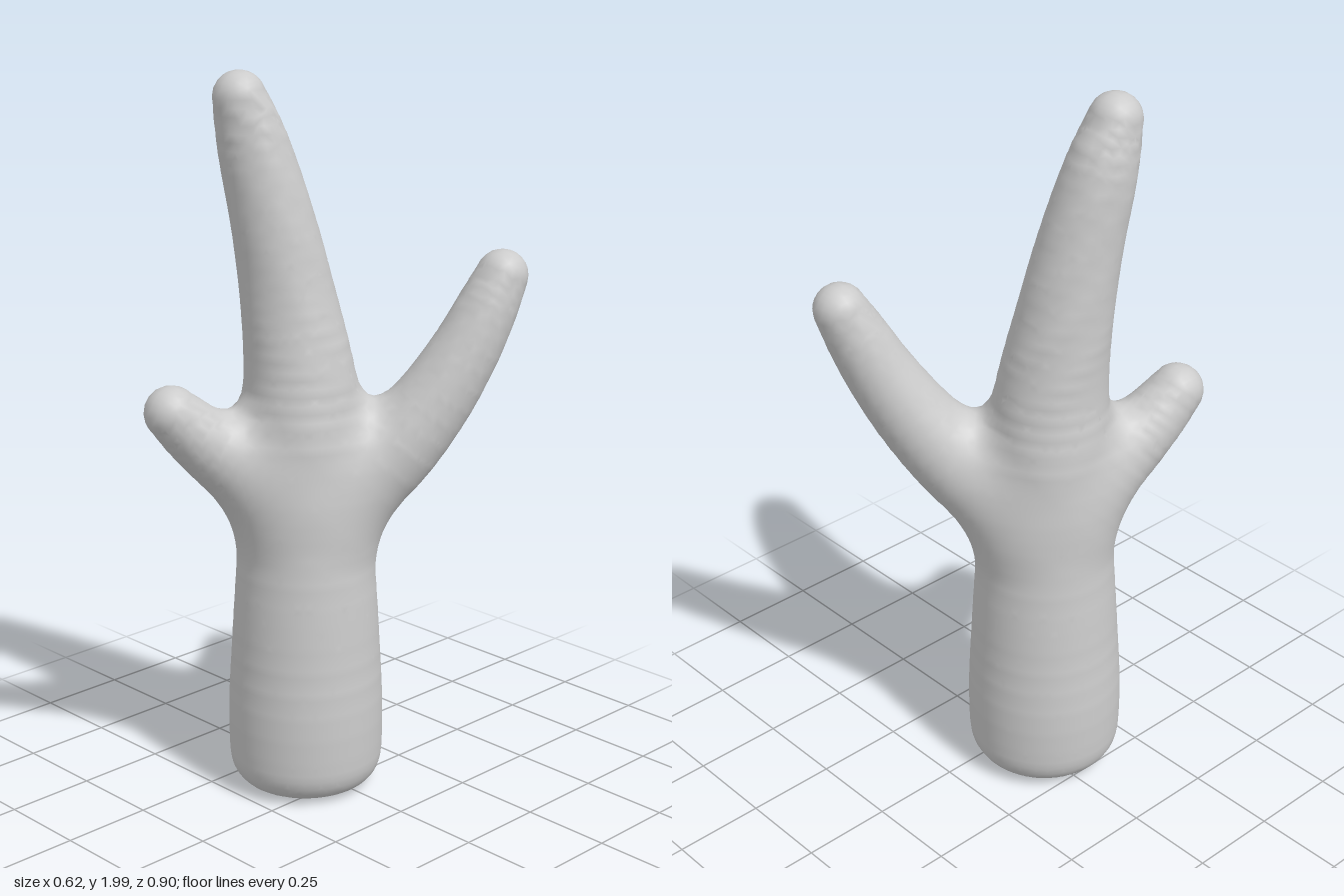
import * as THREE from 'three';

// Centre line stations: x, y, z, radius
const stem = [
  [-0.09, -0.06, 0.035, 0.205], [-0.09, 0.2, 0.035, 0.215], [-0.088, 0.45, 0.035, 0.203], [-0.088, 0.7, 0.035, 0.187],
  [-0.093, 1.0, 0.038, 0.172], [-0.1, 1.2, 0.045, 0.148], [-0.12, 1.4, 0.065, 0.127],
  [-0.14, 1.6, 0.097, 0.111], [-0.165, 1.8, 0.14, 0.094], [-0.175, 1.93, 0.178, 0.07],
];
const backTine = [
  [-0.04, 0.82, -0.03, 0.12], [0.06, 0.96, -0.13, 0.12], [0.135, 1.1, -0.22, 0.106],
  [0.188, 1.24, -0.292, 0.093], [0.22, 1.36, -0.345, 0.082], [0.238, 1.445, -0.382, 0.07],
];
const frontTine = [
  [-0.12, 0.84, 0.09, 0.12], [-0.175, 0.95, 0.2, 0.108], [-0.215, 1.045, 0.305, 0.088], [-0.238, 1.118, 0.375, 0.073],
];

// Smooth centre line split into short tapered segments
function makeLimb(stations, count) {
  const path = new THREE.CatmullRomCurve3(stations.map(s => new THREE.Vector3(s[0], s[1], s[2])), false, 'catmullrom');
  const taper = new THREE.CatmullRomCurve3(stations.map(s => new THREE.Vector3(s[3], 0, 0)), false, 'catmullrom');
  const points = [];
  for (let i = 0; i <= count; i++) {
    const p = path.getPoint(i / count);
    points.push([p.x, p.y, p.z, taper.getPoint(i / count).x]);
  }
  return points;
}

// Distance from a point to a limb's skin
function limbDistance(limb, x, y, z) {
  let best = Infinity;
  for (let i = 0; i + 1 < limb.length; i++) {
    const a = limb[i], b = limb[i + 1];
    const dx = b[0] - a[0], dy = b[1] - a[1], dz = b[2] - a[2];
    const px = x - a[0], py = y - a[1], pz = z - a[2];
    const t = Math.min(1, Math.max(0, (px * dx + py * dy + pz * dz) / (dx * dx + dy * dy + dz * dz)));
    const d = Math.hypot(px - t * dx, py - t * dy, pz - t * dz) - a[3] - t * (b[3] - a[3]);
    if (d < best) best = d;
  }
  return best;
}

function smoothMin(a, b, k) {
  const h = Math.max(k - Math.abs(a - b), 0) / k;
  return Math.min(a, b) - h * h * k / 4;
}

// Closed skin around a distance field: one vertex per crossed cell, one quad per crossed grid edge
function skin(field, min, max, cell) {
  const n = [0, 1, 2].map(i => Math.ceil((max[i] - min[i]) / cell) + 1);
  const step = [1, n[0], n[0] * n[1]];
  const values = new Float32Array(n[0] * n[1] * n[2]);
  const cellVertex = new Int32Array(values.length).fill(-1);
  const positions = [], normals = [], indices = [];
  const each = (last, fn) => {
    for (let k = 0; k < n[2] - last; k++)
      for (let j = 0; j < n[1] - last; j++)
        for (let i = 0; i < n[0] - last; i++) fn([i, j, k], i + j * step[1] + k * step[2]);
  };
  const gradient = p => {
    const e = 0.004;
    return new THREE.Vector3(
      field(p.x + e, p.y, p.z) - field(p.x - e, p.y, p.z),
      field(p.x, p.y + e, p.z) - field(p.x, p.y - e, p.z),
      field(p.x, p.y, p.z + e) - field(p.x, p.y, p.z - e)).normalize();
  };
  each(0, (c, id) => { values[id] = field(...c.map((v, i) => min[i] + v * cell)); });

  each(1, (c, id) => {
    const sum = [0, 0, 0];
    let hits = 0;
    for (let a = 0; a < 3; a++) {
      const b = (a + 1) % 3, d = (a + 2) % 3;
      for (let q = 0; q < 4; q++) {
        const u = q & 1, w = q >> 1, start = id + u * step[b] + w * step[d];
        const v0 = values[start], v1 = values[start + step[a]];
        if ((v0 < 0) === (v1 < 0)) continue;
        sum[a] += v0 / (v0 - v1);
        sum[b] += u;
        sum[d] += w;
        hits++;
      }
    }
    if (!hits) return;
    const p = new THREE.Vector3(...c.map((v, i) => min[i] + (v + sum[i] / hits) * cell));
    p.addScaledVector(gradient(p), -field(p.x, p.y, p.z));
    cellVertex[id] = positions.length / 3;
    positions.push(p.x, p.y, p.z);
    normals.push(...gradient(p).toArray());
  });

  each(1, (c, id) => {
    for (let a = 0; a < 3; a++) {
      const b = (a + 1) % 3, d = (a + 2) % 3;
      const inside = values[id] < 0;
      if (!c[b] || !c[d] || inside === (values[id + step[a]] < 0)) continue;
      const q = [id - step[b] - step[d], id - step[d], id, id - step[b]].map(i => cellVertex[i]);
      if (!inside) q.reverse();
      indices.push(q[0], q[1], q[2], q[0], q[2], q[3]);
    }
  });

  const geometry = new THREE.BufferGeometry();
  geometry.setAttribute('position', new THREE.Float32BufferAttribute(positions, 3));
  geometry.setAttribute('normal', new THREE.Float32BufferAttribute(normals, 3));
  geometry.setIndex(indices);
  return geometry;
}

export function createModel() {
  const group = new THREE.Group();
  group.name = 'antler';
  const main = makeLimb(stem, 36), back = makeLimb(backTine, 16), front = makeLimb(frontTine, 12);

  // Stem and tines melt together; the foot is cut flat with a rounded rim
  const field = (x, y, z) => {
    let d = limbDistance(main, x, y, z);
    d = smoothMin(d, limbDistance(back, x, y, z), 0.11);
    d = smoothMin(d, limbDistance(front, x, y, z), 0.1);
    return -smoothMin(-d, y - 0.005, 0.1);
  };
  const material = new THREE.MeshStandardMaterial({ color: 0xcccccc });
  const antler = new THREE.Mesh(skin(field, [-0.38, -0.06, -0.52], [0.38, 2.06, 0.52], 0.022), material);
  antler.name = 'branchedAntler';
  group.add(antler);
  return group;
}
